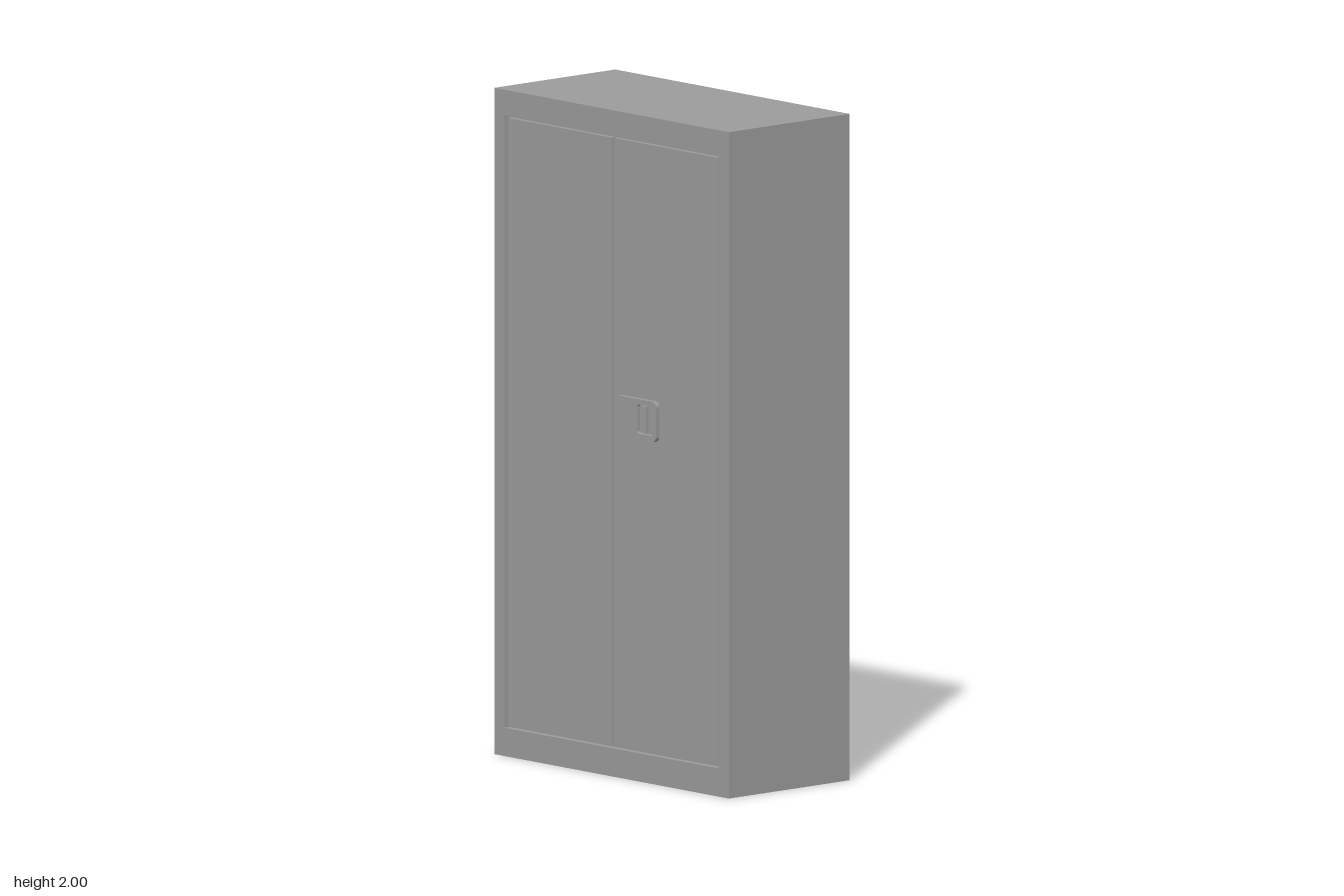
import * as THREE from 'three';

const W = 1.04, H = 2, FRONT = -0.235, BACK = 0.2445; // doors face -x
const OPEN = { z: 0.475, y0: 0.085, y1: 1.925 };      // door opening
const DOOR_X = -0.23, RECESS_X = -0.215;
const mat = new THREE.MeshStandardMaterial({ color: 0x9c9c9c, side: THREE.DoubleSide });

// Rectangle with rounded corners; shape x runs along z of the model
function rect(path, z0, z1, y0, y1, r = 0) {
  if (!r) return path.moveTo(z0, y0).lineTo(z1, y0).lineTo(z1, y1).lineTo(z0, y1).closePath();
  path.moveTo(z0 + r, y0);
  path.absarc(z1 - r, y0 + r, r, -Math.PI / 2, 0);
  path.absarc(z1 - r, y1 - r, r, 0, Math.PI / 2);
  path.absarc(z0 + r, y1 - r, r, Math.PI / 2, Math.PI);
  path.absarc(z0 + r, y0 + r, r, Math.PI, Math.PI * 1.5);
  return path.closePath();
}

// Box between two corners, optionally without its -x face
function box(x0, x1, y0, y1, z0, z1, open = false) {
  const g = new THREE.BoxGeometry(x1 - x0, y1 - y0, z1 - z0);
  if (open) {
    const index = Array.from(g.index.array);
    index.splice(6, 6);
    g.setIndex(index);
    g.clearGroups();
  }
  return g.translate((x0 + x1) / 2, (y0 + y1) / 2, (z0 + z1) / 2);
}

export function createModel() {
  const model = new THREE.Group();
  model.name = 'cabinet';
  const add = (name, geometry, parent = model) => {
    const mesh = new THREE.Mesh(geometry, mat);
    mesh.name = name;
    parent.add(mesh);
  };

  // Carcass: open shell, front frame and the shallow recess behind the doors
  add('shell', box(FRONT, BACK, 0, H, -W / 2, W / 2, true));
  const frame = rect(new THREE.Shape(), -W / 2, W / 2, 0, H);
  frame.holes.push(rect(new THREE.Path(), -OPEN.z, OPEN.z, OPEN.y0, OPEN.y1));
  add('frontFrame', new THREE.ShapeGeometry(frame).rotateY(-Math.PI / 2).translate(FRONT, 0, 0));
  add('doorRecess', box(FRONT, RECESS_X, OPEN.y0, OPEN.y1, -OPEN.z, OPEN.z, true));

  // Pair of doors with narrow gaps all round
  const gap = 0.009;
  for (const [name, s] of [['leftDoor', -1], ['rightDoor', 1]]) {
    const a = s * gap / 2, b = s * (OPEN.z - gap);
    add(name, box(DOOR_X, RECESS_X, OPEN.y0 + gap, OPEN.y1 - gap, Math.min(a, b), Math.max(a, b)));
  }

  // Latch: rounded plate with a finger recess and a small pull
  const latch = new THREE.Group();
  latch.name = 'latch';
  model.add(latch);
  const plate = rect(new THREE.Shape(), 0.027, 0.207, 1.028, 1.15, 0.018);
  plate.holes.push(rect(new THREE.Path(), 0.125, 0.192, 1.046, 1.134, 0.008));
  const plateGeo = new THREE.ExtrudeGeometry(plate, { depth: 0.0145, bevelEnabled: false, curveSegments: 6 });
  add('latchPlate', plateGeo.rotateY(-Math.PI / 2).translate(DOOR_X, 0, 0), latch);
  add('latchPull', box(-0.24, DOOR_X, 1.05, 1.13, 0.132, 0.158), latch);

  return model;
}
